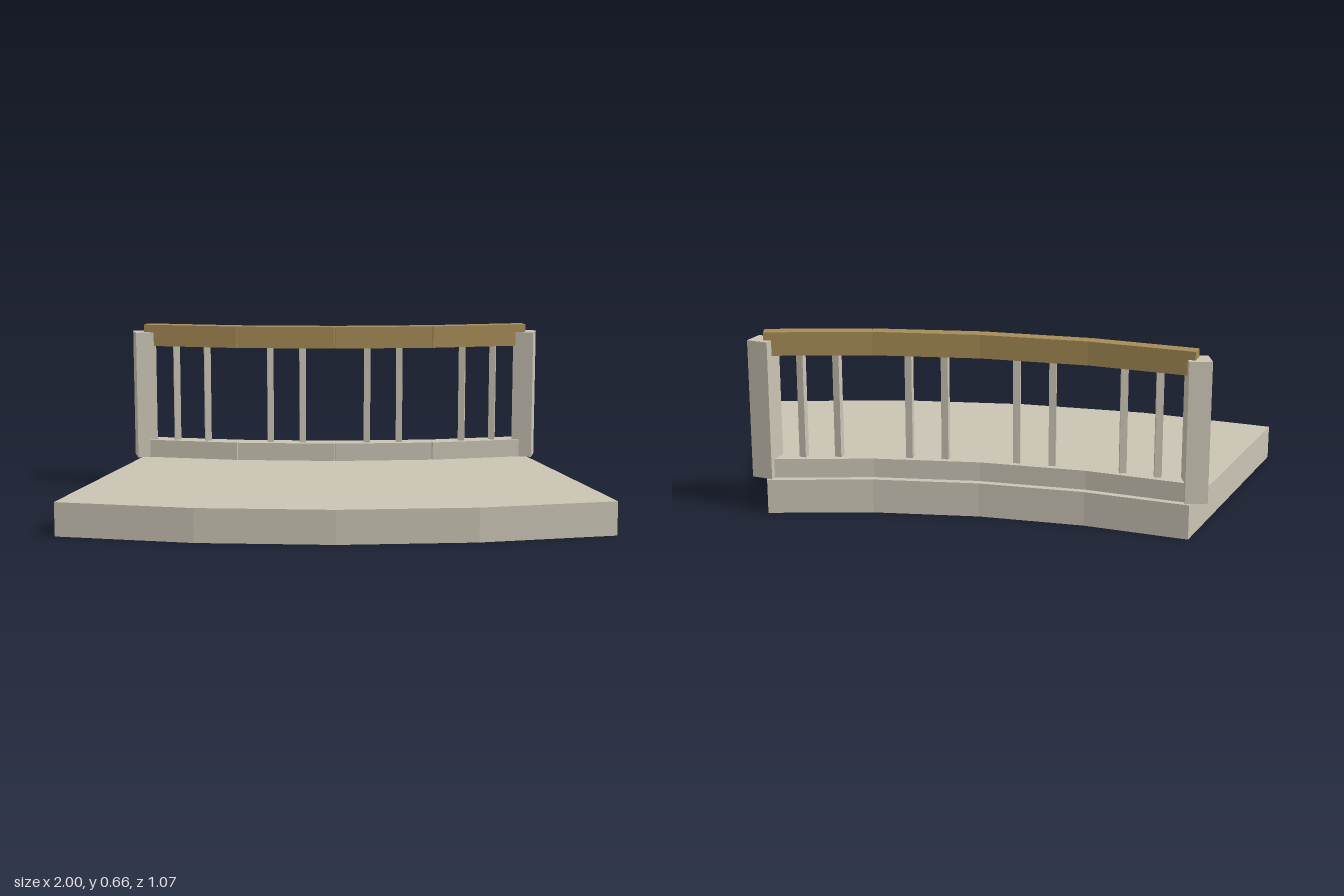
import * as THREE from 'three';

export function createModel() {
  const model = new THREE.Group();
  model.name = 'curvedBalcony';
  const stone = new THREE.MeshStandardMaterial({ color: 0xcac4b4 });
  stone.name = 'pale stone';
  const wood = new THREE.MeshStandardMaterial({ color: 0xa68b55 });
  wood.name = 'brown wood';

  // Box standing on y0, turned about the vertical axis
  function addBox(name, material, [w, h, d], [x, y0, z], yaw) {
    const mesh = new THREE.Mesh(new THREE.BoxGeometry(w, h, d), material);
    mesh.name = name;
    mesh.position.set(x, y0 + h / 2, z);
    mesh.rotation.y = yaw;
    model.add(mesh);
  }

  // Fan-shaped floor slab, drawn in (x, -z) and extruded upwards
  const outline = [
    [-1, 0.405], [-0.5, 0.505], [0, 0.537], [0.5, 0.505], [1, 0.405],
    [0.75, -0.537], [0.38, -0.467], [0, -0.442], [-0.38, -0.467], [-0.75, -0.537],
  ];
  const shape = new THREE.Shape(outline.map(([x, z]) => new THREE.Vector2(x, -z)));
  const slabGeometry = new THREE.ExtrudeGeometry(shape, { depth: 0.125, bevelEnabled: false });
  slabGeometry.rotateX(-Math.PI / 2);
  const slab = new THREE.Mesh(slabGeometry, stone);
  slab.name = 'floorSlab';
  model.add(slab);

  // Railing follows four straight segments along the back arc
  const path = [[-0.758, -0.48], [-0.385, -0.407], [0, -0.382], [0.385, -0.407], [0.758, -0.48]];
  for (let i = 0; i < 4; i++) {
    const [x0, z0] = path[i];
    const [x1, z1] = path[i + 1];
    const length = Math.hypot(x1 - x0, z1 - z0);
    const yaw = -Math.atan2(z1 - z0, x1 - x0);
    const x = (x0 + x1) / 2, z = (z0 + z1) / 2;
    addBox('handrail', wood, [length, 0.085, 0.05], [x, 0.575, z], yaw);
    addBox('curb', stone, [length, 0.07, 0.068], [x, 0.125, z], yaw);
    // Two balusters per segment
    for (const t of [1 / 3, 2 / 3]) {
      const at = [x0 + (x1 - x0) * t, 0.195, z0 + (z1 - z0) * t];
      addBox('baluster', stone, [0.025, 0.38, 0.025], at, -yaw);
    }
  }

  // End posts
  for (const side of [-1, 1]) {
    addBox('endPost', stone, [0.08, 0.505, 0.08], [side * 0.763, 0.125, -0.479], -side * 0.25);
  }
  return model;
}
